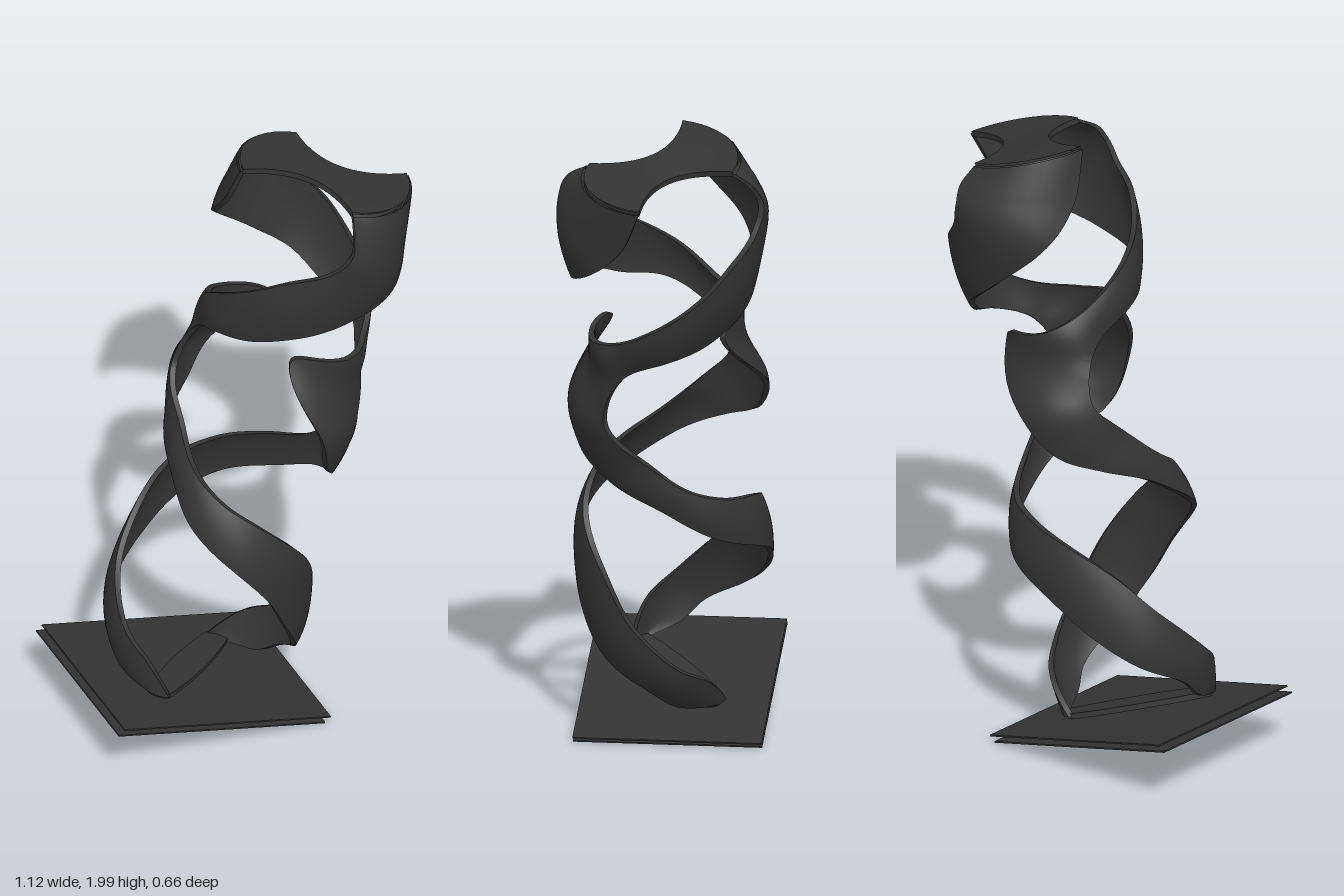
import * as THREE from 'three';
import { toCreasedNormals } from 'three/addons/utils/BufferGeometryUtils.js';

const material = new THREE.MeshStandardMaterial({ color: 0x333333, side: THREE.DoubleSide });
const HALF = 0.009;     // half the sheet thickness
const BULGE = 0.01;     // outward swell across the ribbon's width

// Ribbon sections: trailing edge angle, height; leading edge angle, height; radii of both edges.
// The spiral climbs one way, swings back at a pointed flap, and climbs the other way.
const rows = [
  [132, 0.05, 150, 0.05, 0.215, 0.23],
  [152, 0.16, 176, 0.08, 0.26, 0.25],
  [174, 0.24, 193, 0.15, 0.29, 0.28],
  [200, 0.38, 220, 0.24, 0.3, 0.3],
  [223, 0.53, 246, 0.37, 0.285, 0.3],
  [250, 0.65, 267, 0.49, 0.275, 0.3],
  [280, 0.73, 292, 0.59, 0.255, 0.3],
  [311, 0.785, 325, 0.68, 0.245, 0.275],
  [342, 0.85, 360, 0.785, 0.235, 0.245],
  [368, 0.94, 398, 0.87, 0.24, 0.265],
  [388, 1.03, 425, 0.95, 0.28, 0.29],
  [396, 1.09, 442, 1.1, 0.29, 0.3],
  [395, 1.17, 468, 1.31, 0.28, 0.19],
  [388, 1.24, 420, 1.335, 0.26, 0.25],
  [376, 1.29, 390, 1.375, 0.25, 0.25],
  [352, 1.34, 360, 1.46, 0.26, 0.27],
  [322, 1.38, 332, 1.55, 0.255, 0.28],
  [295, 1.445, 308, 1.64, 0.275, 0.29],
  [264, 1.51, 285, 1.71, 0.28, 0.305],
  [228, 1.606, 276, 1.78, 0.305, 0.315],
  [202, 1.73, 275, 1.84, 0.28, 0.285],
  [188, 1.885, 273, 1.88, 0.275, 0.225],
];
const edgeCurve = (k, rk) => new THREE.CatmullRomCurve3(
  rows.map((r) => new THREE.Vector3(THREE.MathUtils.degToRad(r[k]), r[k + 1], r[rk])),
  false, 'catmullrom', 0.5);
const trailing = edgeCurve(0, 4);
const leading = edgeCurve(2, 5);

function ribbonPoint(u, v, offset = 0) {
  const p = trailing.getPoint(u).lerp(leading.getPoint(u), v);
  const r = p.z + BULGE * 4 * v * (1 - v) + offset;
  return new THREE.Vector3(r * Math.cos(p.x), p.y, r * Math.sin(p.x));
}

// Thin closed sheet: each section runs along the outer face and back along the inner one
function sheet(point, nu, nv) {
  const pos = [], index = [];
  const m = 2 * (nv + 1);
  for (let i = 0; i <= nu; i++) {
    for (let j = 0; j < m; j++) {
      const outer = j <= nv;
      const v = (outer ? j : m - 1 - j) / nv;
      pos.push(...point(i / nu, v, outer ? HALF : -HALF).toArray());
    }
  }
  for (let i = 0; i < nu; i++) {
    for (let j = 0; j < m; j++) {
      const a = i * m + j, b = a + m;
      const d = i * m + (j + 1) % m, c = d + m;
      index.push(a, b, c, a, c, d);
    }
  }
  const g = new THREE.BufferGeometry();
  g.setAttribute('position', new THREE.Float32BufferAttribute(pos, 3));
  g.setIndex(index);
  return toCreasedNormals(g, 0.7);
}

// Waisted web joining the two ribbon ends at u = end
function bridge(end, neckX, neckZ) {
  return sheet((u, v, offset) => {
    const from = ribbonPoint(end, v);
    const to = ribbonPoint(end, 1 - v);
    to.x *= -1;
    to.z *= -1;
    const k = 1 - 2 * v;
    const neck = new THREE.Vector3(neckX * k, from.y, neckZ * k);
    const control = neck.multiplyScalar(2).addScaledVector(from, -0.5).addScaledVector(to, -0.5);
    const p = new THREE.QuadraticBezierCurve3(from, control, to).getPoint(u);
    p.y += offset;
    return p;
  }, 32, 10);
}

export function createModel() {
  const model = new THREE.Group();
  model.name = 'spiralSculpture';
  // Everything leans together with the plate
  const leaning = new THREE.Group();
  leaning.name = 'leaningBody';
  leaning.position.set(-0.205, 0.095, 0);
  leaning.rotation.z = -0.26;
  model.add(leaning);

  const add = (name, geometry) => {
    const mesh = new THREE.Mesh(geometry, material);
    mesh.name = name;
    leaning.add(mesh);
    return mesh;
  };

  // Two matching ribbons, half a turn apart
  const ribbon = sheet(ribbonPoint, 190, 10);
  add('ribbonA', ribbon);
  add('ribbonB', ribbon).rotation.y = Math.PI;

  // Webs at the top and the foot
  add('topBridge', bridge(1, -0.07, 0.03));
  add('footBridge', bridge(0, 0.035, 0.035));

  // Base made of two thin plates with a gap
  [['lowerPlate', -0.01, 0.004], ['upperPlate', 0.005, 0.024]].forEach(([name, x, y]) => {
    add(name, new THREE.BoxGeometry(0.735, 0.005, 0.59)).position.set(x, y, -0.005);
  });
  return model;
}
